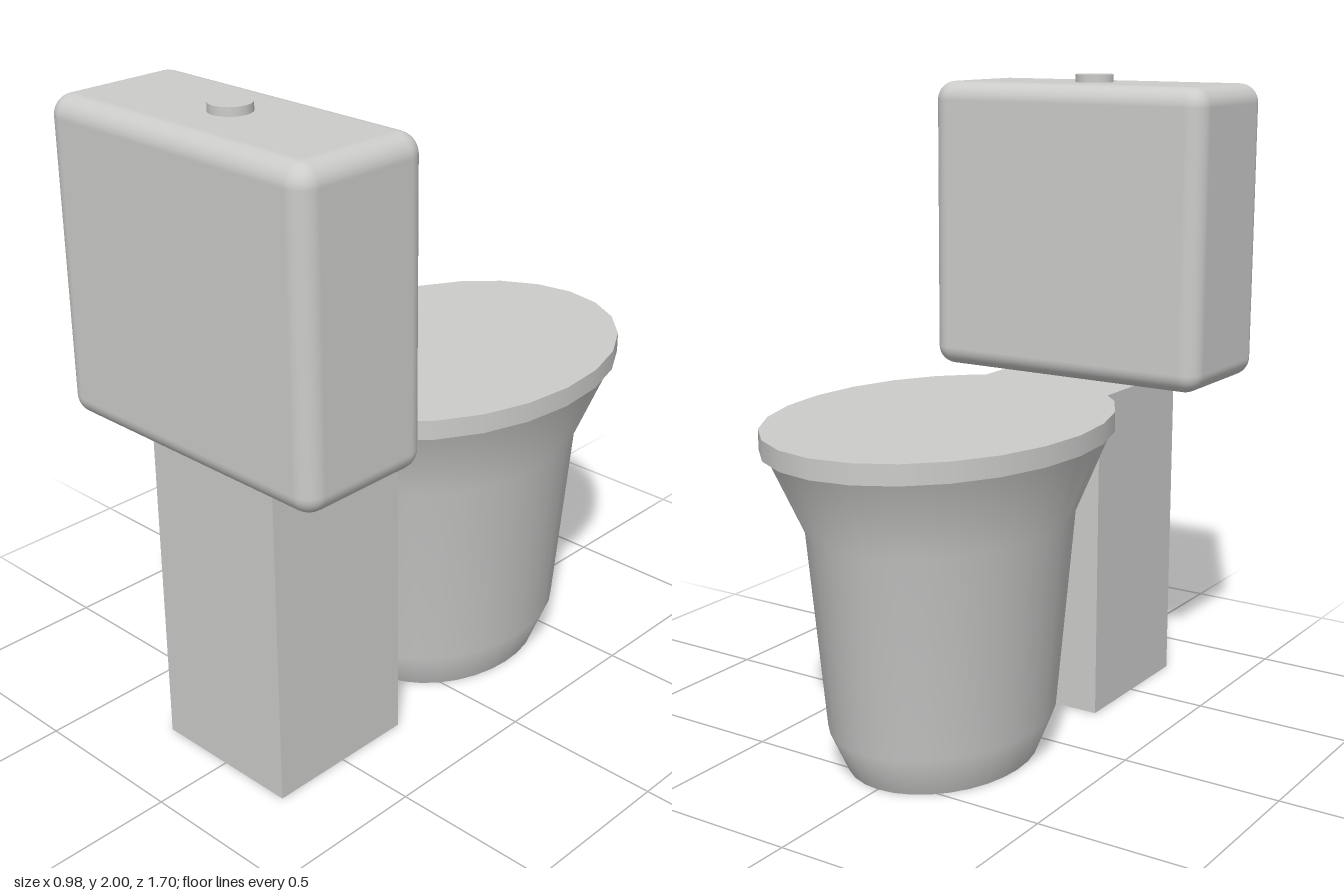
import * as THREE from 'three';
import { RoundedBoxGeometry } from 'three/addons/geometries/RoundedBoxGeometry.js';

export function createModel() {
  const model = new THREE.Group();
  model.name = 'toilet';
  const ceramic = new THREE.MeshStandardMaterial({ color: 0xcccccb });
  ceramic.name = 'ceramic';

  const add = (name, geometry, x, y, z) => {
    const mesh = new THREE.Mesh(geometry, ceramic);
    mesh.name = name;
    mesh.position.set(x, y, z);
    model.add(mesh);
    return mesh;
  };

  const bowlZ = -0.235;

  // Water tank with rounded edges, and its flush button
  add('tank', new RoundedBoxGeometry(0.98, 0.935, 0.44, 5, 0.06), 0, 1.5075, 0.63);
  add('flushButton', new THREE.CylinderGeometry(0.061, 0.061, 0.05, 32), 0, 1.975, 0.625);

  // Square column carrying the tank
  add('column', new THREE.BoxGeometry(0.49, 1.036, 0.49), 0, 0.518, 0.505);

  // Oval bowl: a flared profile, stretched along z
  const profile = [[0.265, 0], [0.315, 0.13], [0.365, 0.745], [0.462, 0.99]];
  const bowl = add('bowl', new THREE.LatheGeometry(
    profile.map(([r, y]) => new THREE.Vector2(r, y)), 32), 0, 0, bowlZ);
  bowl.scale.z = 1.27;

  // Flat underside of the bowl
  const foot = add('bowlFoot', new THREE.CircleGeometry(0.265, 32).rotateX(Math.PI / 2), 0, 0, bowlZ);
  foot.scale.z = 1.27;

  // Closed oval lid
  const lid = add('lid', new THREE.CylinderGeometry(0.467, 0.467, 0.06, 24), 0, 1.02, bowlZ);
  lid.scale.z = 0.613 / 0.467;

  return model;
}
